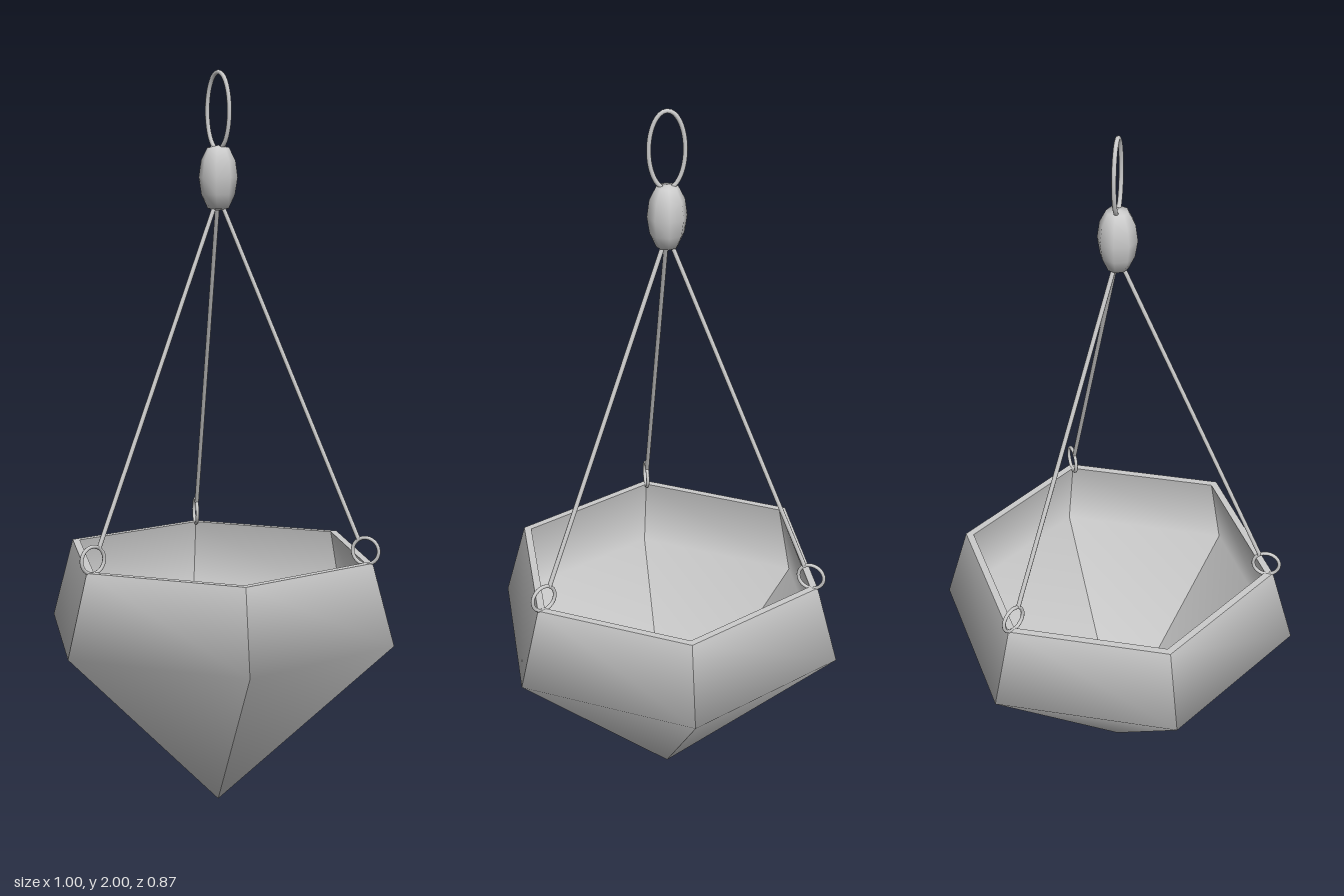
import * as THREE from 'three';
import { mergeGeometries } from 'three/addons/utils/BufferGeometryUtils.js';

const material = new THREE.MeshStandardMaterial({ color: 0xcccccc });

const toPoints = (list) => list.map(([r, y]) => new THREE.Vector2(r, y));

// Six-sided shell: smooth along the profile, creased between the sides
function hexShell(profile) {
  const sides = [];
  for (let i = 0; i < 6; i++) {
    const side = new THREE.LatheGeometry(toPoints(profile), 1, Math.PI / 2 + (i * Math.PI) / 3, Math.PI / 3);
    side.computeVertexNormals();
    sides.push(side);
  }
  return mergeGeometries(sides);
}

function addMesh(parent, name, geometry) {
  const mesh = new THREE.Mesh(geometry, material);
  mesh.name = name;
  parent.add(mesh);
  return mesh;
}

// Thin straight rod between two points
function rod(a, b, radius) {
  const dir = b.clone().sub(a);
  const geometry = new THREE.CylinderGeometry(radius, radius, dir.length(), 8);
  geometry.applyQuaternion(new THREE.Quaternion().setFromUnitVectors(new THREE.Vector3(0, 1, 0), dir.normalize()));
  const mid = a.clone().add(b).multiplyScalar(0.5);
  return geometry.translate(mid.x, mid.y, mid.z);
}

export function createModel() {
  const model = new THREE.Group();
  model.name = 'hangingPlanter';

  // Faceted bowl with a thin wall
  const bowl = new THREE.Group();
  bowl.name = 'bowl';
  addMesh(bowl, 'bowlOutside', hexShell([[0, 0.005], [0.5, 0.49], [0.438, 0.71]]));
  addMesh(bowl, 'bowlRim', hexShell([[0.438, 0.71], [0.416, 0.71]]));
  addMesh(bowl, 'bowlInside', hexShell([[0.416, 0.71], [0.463, 0.49], [0, 0.04]]));
  model.add(bowl);

  // Three wires, each hooked to a small ring on the rim
  for (let i = 0; i < 3; i++) {
    const hanger = new THREE.Group();
    hanger.name = 'hanger' + (i + 1);
    addMesh(hanger, 'rimRing', new THREE.TorusGeometry(0.036, 0.005, 8, 24)).position.set(0.418, 0.742, 0);
    addMesh(hanger, 'wire', rod(new THREE.Vector3(0.398, 0.772, 0), new THREE.Vector3(0.012, 1.645, 0), 0.006));
    hanger.rotation.y = Math.PI + (i * Math.PI * 2) / 3;
    model.add(hanger);
  }

  // Bead gathering the wires
  const beadProfile = [[0, 1.632], [0.028, 1.638], [0.045, 1.675], [0.052, 1.72], [0.046, 1.764], [0.029, 1.798], [0, 1.804]];
  addMesh(model, 'bead', new THREE.LatheGeometry(toPoints(beadProfile), 8));

  // Oval hanging loop
  const loopPoints = [];
  for (let i = 0; i < 24; i++) {
    const a = (i / 24) * Math.PI * 2;
    loopPoints.push(new THREE.Vector3(0, 1.893 + 0.101 * Math.sin(a), 0.046 * Math.cos(a)));
  }
  addMesh(model, 'hangingLoop', new THREE.TubeGeometry(new THREE.CatmullRomCurve3(loopPoints, true), 48, 0.006, 8, true));

  return model;
}
